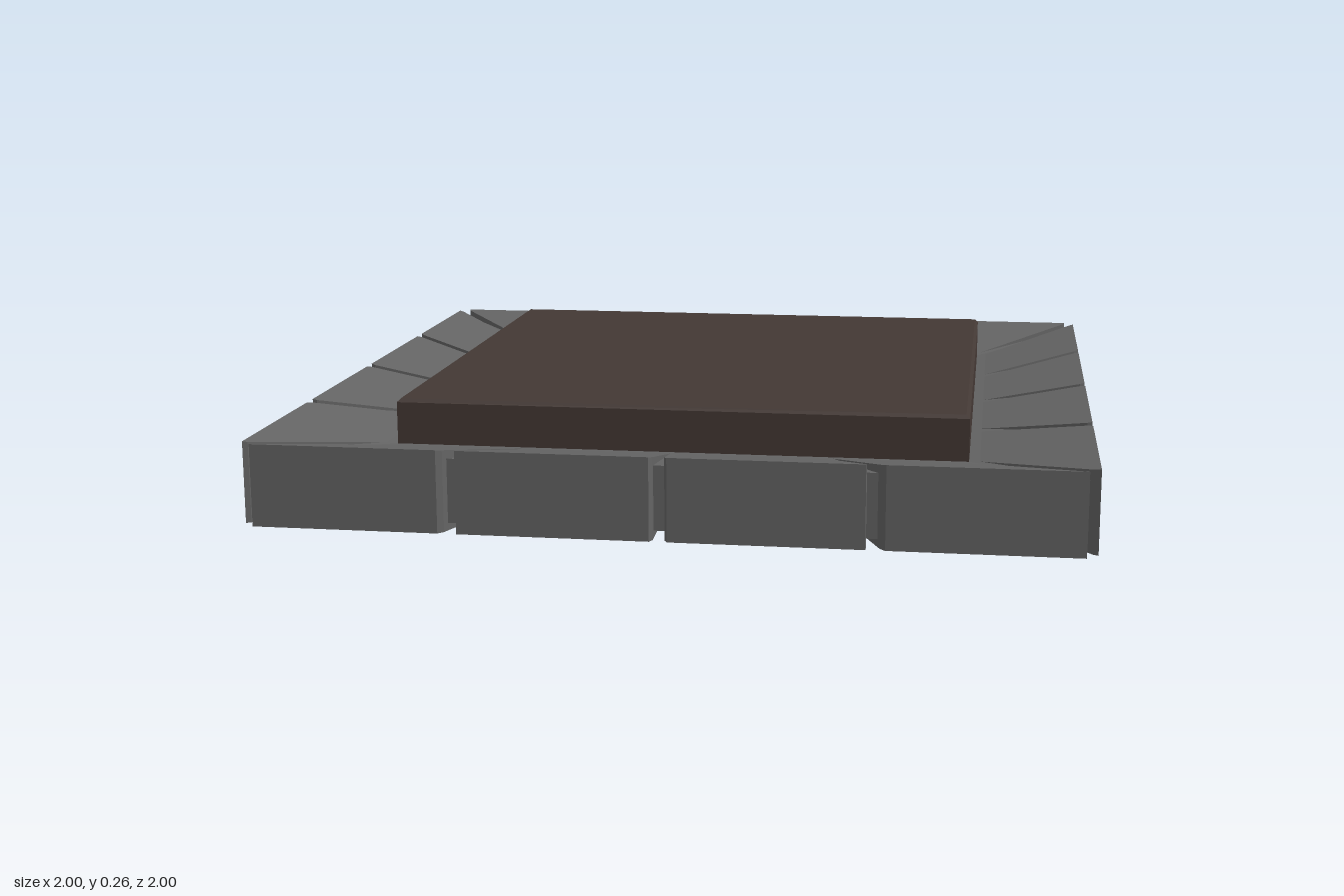
import * as THREE from 'three';

// Skin a row of four-cornered sections and cap both ends
function loft(sections) {
  const pos = [];
  const quad = (a, b, c, d) => [a, b, c, a, c, d].forEach(p => pos.push(...p));
  for (let i = 0; i < sections.length - 1; i++) {
    const s = sections[i], t = sections[i + 1];
    for (let j = 0; j < 4; j++) quad(s[j], s[(j + 1) % 4], t[(j + 1) % 4], t[j]);
  }
  quad(...[...sections[0]].reverse());
  quad(...sections[sections.length - 1]);
  const g = new THREE.BufferGeometry();
  g.setAttribute('position', new THREE.Float32BufferAttribute(pos, 3));
  g.computeVertexNormals();
  return g;
}

// Horizontal square section
const square = (h, y) => [[-h, y, h], [h, y, h], [h, y, -h], [-h, y, -h]];

// Wedge stone between two joints that run towards the centre
function stoneGeometry(k0, k1) {
  const gap = 0.014;
  const section = (r, chamfer) => {
    const x0 = r * k0 + gap * Math.hypot(1, k0) + chamfer;
    const x1 = r * k1 - gap * Math.hypot(1, k1) - chamfer;
    const t = (1 - r) / 0.3;
    const y0 = 0.02 * t, y1 = 0.2 - 0.06 * t;
    return [[x0, y0, r], [x1, y0, r], [x1, y1, r], [x0, y1, r]];
  };
  return loft([section(0.68, 0), section(0.988, 0), section(1, 0.007)]);
}

export function createModel() {
  const model = new THREE.Group();
  model.name = 'stoneEdgedPit';
  const stone = new THREE.MeshStandardMaterial({ color: 0x646464, flatShading: true });
  const earth = new THREE.MeshStandardMaterial({ color: 0x433834, flatShading: true });

  const add = (parent, name, geometry, material) => {
    const mesh = new THREE.Mesh(geometry, material);
    mesh.name = name;
    parent.add(mesh);
    return mesh;
  };

  // Core that fills the joints between the stones
  add(model, 'core', loft([square(0.975, 0.02), square(0.975, 0.175), square(0.68, 0.14)]), stone);

  // Four stones on each of the four sides
  const rim = new THREE.Group();
  rim.name = 'stoneRim';
  model.add(rim);
  for (let i = 0; i < 4; i++) {
    const geometry = stoneGeometry(-1 + i * 0.5, -0.5 + i * 0.5);
    for (let side = 0; side < 4; side++) {
      add(rim, 'rimStone', geometry, stone).rotation.y = side * Math.PI / 2;
    }
  }

  // Raised centre slab with a small bevel round its top
  add(model, 'centreSlab', loft([square(0.703, 0.1), square(0.703, 0.247), square(0.694, 0.256)]), earth);
  return model;
}
